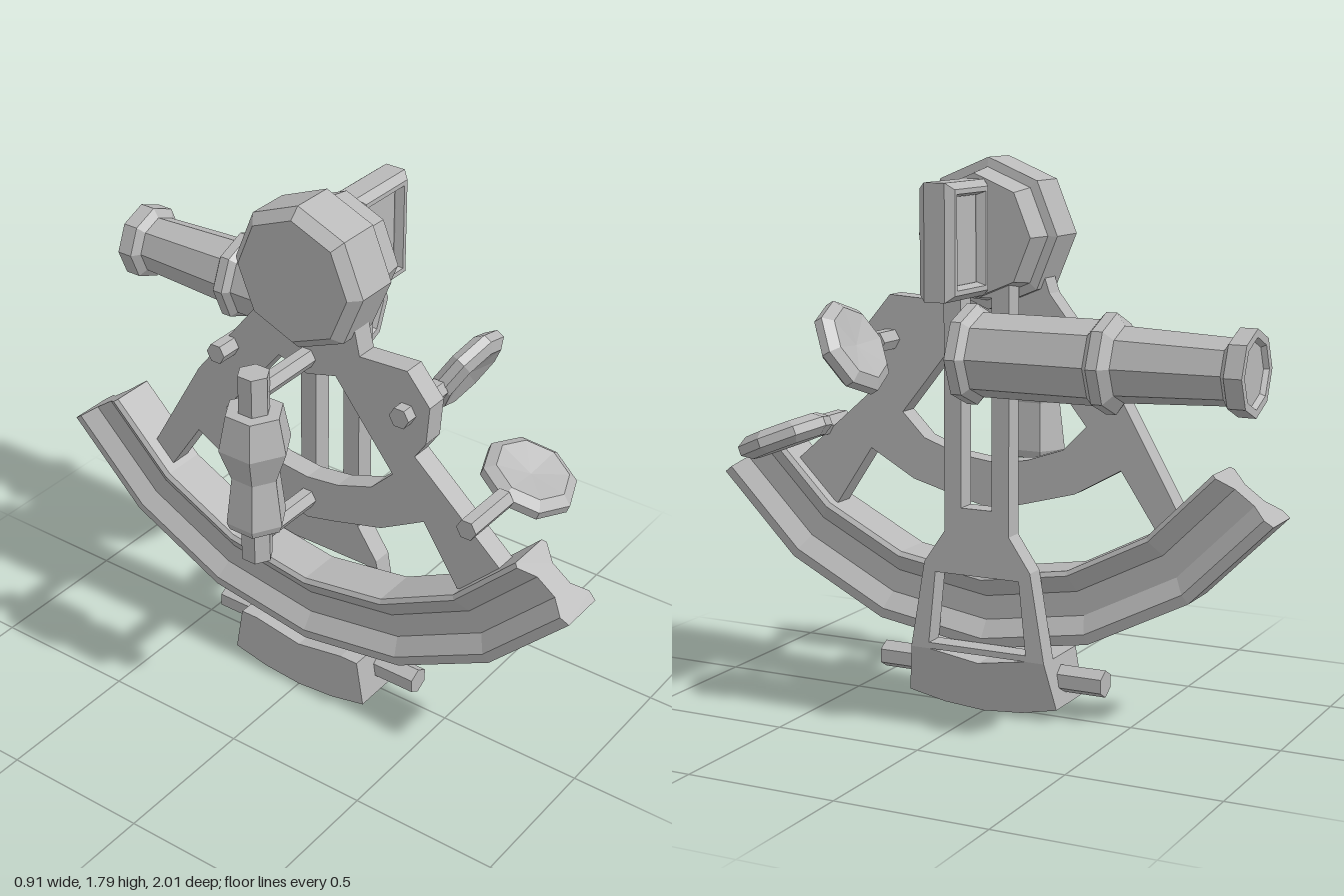
import * as THREE from 'three';
import { mergeGeometries } from 'three/addons/utils/BufferGeometryUtils.js';

const V2 = (p) => new THREE.Vector2(p[0], p[1]);

export function createModel() {
  const model = new THREE.Group();
  model.name = 'sextant';
  const metal = new THREE.MeshStandardMaterial({ color: 0xb8b8b8, flatShading: true });
  metal.name = 'grey metal';

  const add = (name, geometry, x = 0, y = 0, z = 0) => {
    const mesh = new THREE.Mesh(geometry, metal);
    mesh.name = name;
    mesh.position.set(x, y, z);
    model.add(mesh);
    return mesh;
  };

  // Plate drawn in [z, y] and extruded from x0 to x1
  const plate = (points, holes, x0, x1) => {
    const flip = (list) => list.map(([z, y]) => V2([-z, y]));
    const shape = new THREE.Shape(flip(points));
    holes.forEach((h) => shape.holes.push(new THREE.Path(flip(h))));
    return new THREE.ExtrudeGeometry(shape, { depth: x1 - x0, bevelEnabled: false })
      .rotateY(Math.PI / 2).translate(x0, 0, 0);
  };
  // Mirrors half an outline (from top centre to bottom centre) across z = 0
  const mirrored = (half) => [...half, ...half.filter((p) => p[0] !== 0).reverse().map(([z, y]) => [-z, y])];
  const turned = (points, sides) => new THREE.LatheGeometry(points.map(V2), sides);
  const rodX = (r, x0, x1, sides = 6) =>
    new THREE.CylinderGeometry(r, r, x1 - x0, sides).rotateZ(-Math.PI / 2).translate((x0 + x1) / 2, 0, 0);

  // Graduated arc: I-beam section swept round the lower limb
  const section = [
    [0.975, -0.075], [0.99, -0.085], [1.05, -0.045], [1.13, -0.045], [1.185, -0.085], [1.22, -0.078],
    [1.22, 0.078], [1.185, 0.085], [1.13, 0.045], [1.05, 0.045], [0.99, 0.085], [0.975, 0.075],
  ];
  const half = THREE.MathUtils.degToRad(54);
  const sweep = new THREE.LatheGeometry([...section, section[0]].map(V2), 6, Math.PI / 2 - half, half * 2);
  const endCap = (angle, flip) => {
    const cap = new THREE.ShapeGeometry(new THREE.Shape(section.map(V2))).rotateY(angle);
    if (flip) cap.setIndex(Array.from(cap.index.array).reverse());
    return cap;
  };
  add('arc', mergeGeometries([sweep, endCap(-half, false), endCap(half, true)]).rotateZ(-Math.PI / 2),
    -0.055, 1.42, 0.02);

  // Frame: two legs, curved crossbar and a lobe carrying the upper shade
  add('frame', plate([
    [0.17, 1.46], [0.2, 1.33], [0.375, 1.34], [0.46, 1.24], [0.45, 1.11], [0.41, 1.05], [0.74, 0.76], [0.71, 0.64],
    [0.6, 0.6], [0.45, 0.825], [0.29, 0.735], [0.11, 0.686], [0, 0.66], [-0.11, 0.686], [-0.29, 0.735],
    [-0.45, 0.825], [-0.6, 0.6], [-0.69, 0.627], [-0.44, 1.066], [-0.2, 1.37], [-0.17, 1.46],
  ], [mirrored([[0, 1.2], [0.11, 1.23], [0.33, 0.955], [0.25, 0.875], [0.12, 0.83], [0, 0.815]])], -0.09, -0.015));

  // Index arm: slotted bar flaring to a windowed lower plate
  add('indexArm', plate(
    mirrored([[0.115, 1.5], [0.115, 0.6], [0.19, 0.49], [0.24, 0.2]]),
    [
      [[-0.055, 1.36], [0.055, 1.36], [0.055, 0.68], [-0.055, 0.68]],
      [[-0.15, 0.46], [0.15, 0.46], [0.175, 0.22], [-0.175, 0.22]],
    ], 0.03, 0.1));

  // Foot below the arc, its outer face leaning in toward the bottom
  const foot = plate(mirrored([[0, 0.17], [0.175, 0.2], [0.24, 0.2], [0.267, 0.04], [0.14, 0.012], [0, 0]]), [], -0.145, 0.1);
  const fp = foot.attributes.position;
  for (let i = 0; i < fp.count; i++) {
    if (fp.getX(i) > 0) fp.setX(i, 0.05 + 0.25 * Math.min(fp.getY(i), 0.2));
  }
  add('foot', foot);
  add('tangentScrew', new THREE.CylinderGeometry(0.045, 0.045, 0.805, 6).rotateX(Math.PI / 2), -0.02, 0.125, 0);

  // Pivot drum
  add('pivotDrum', turned([
    [0, -0.165], [0.205, -0.165], [0.24, -0.13], [0.24, 0.015], [0.21, 0.02], [0.195, 0.115], [0, 0.115],
  ], 8).rotateZ(-Math.PI / 2), 0, 1.553, 0);

  // Index mirror: bevelled rectangular rim; lathe radius is 1 minus the inset
  const rim = turned([
    [0.955, -0.035], [0.965, -0.06], [0.98, -0.06], [1, -0.035],
    [1, 0.035], [0.98, 0.06], [0.965, 0.06], [0.955, 0.035], [0.955, -0.035],
  ], 4);
  const rp = rim.attributes.position;
  for (let i = 0; i < rp.count; i++) {
    const inset = 1 - Math.hypot(rp.getX(i), rp.getZ(i));
    const a = Math.atan2(rp.getX(i), rp.getZ(i)) + Math.PI / 4;
    rp.setX(i, Math.sign(Math.sin(a)) * (0.13 - inset));
    rp.setZ(i, Math.sign(Math.cos(a)) * (0.18 - inset));
  }
  add('mirrorRim', rim.rotateX(Math.PI / 2), 0.245, 1.55, 0);
  add('mirrorPane', new THREE.BoxGeometry(0.2, 0.3, 0.06), 0.245, 1.55, 0);

  // Telescope, eyepiece at the back
  add('telescope', turned([
    [0, -0.985], [0.095, -0.985], [0.105, -1], [0.13, -1], [0.13, -0.945], [0.1, -0.925], [0.115, -0.59],
    [0.152, -0.565], [0.152, -0.53], [0.13, -0.51], [0.13, -0.125], [0.155, -0.105], [0.155, -0.07],
    [0.13, -0.07], [0.12, -0.09], [0, -0.09],
  ], 8).rotateX(Math.PI / 2), 0.295, 1.21, 0);
  add('telescopeMount', rodX(0.035, -0.165, 0.19), 0, 1.2, -0.305);

  // Handle behind the frame with its two stays
  add('handle', turned([
    [0, 0.66], [0.052, 0.66], [0.052, 0.785], [0.09, 0.785], [0.1, 0.81], [0.08, 0.97], [0.12, 1.08],
    [0.095, 1.2], [0.052, 1.2], [0.052, 1.33], [0, 1.33],
  ], 6), -0.355, 0, 0);
  [1.26, 0.735].forEach((y) => add('handleStay', rodX(0.034, -0.34, -0.015), 0, y, 0));

  // Shades: dished octagonal discs on short shafts
  [[1.194, 0.375, 120], [0.89, 0.63, 22]].forEach(([y, z, tilt]) => {
    const disc = add('shade', turned([
      [0, -0.018], [0.125, -0.038], [0.16, -0.015], [0.16, 0.015], [0.125, 0.038], [0, 0.018],
    ], 8), 0.23, y, z);
    disc.rotation.x = THREE.MathUtils.degToRad(tilt);
    add('shadeShaft', rodX(0.036, -0.13, 0.085), 0, y, z);
  });

  return model;
}
